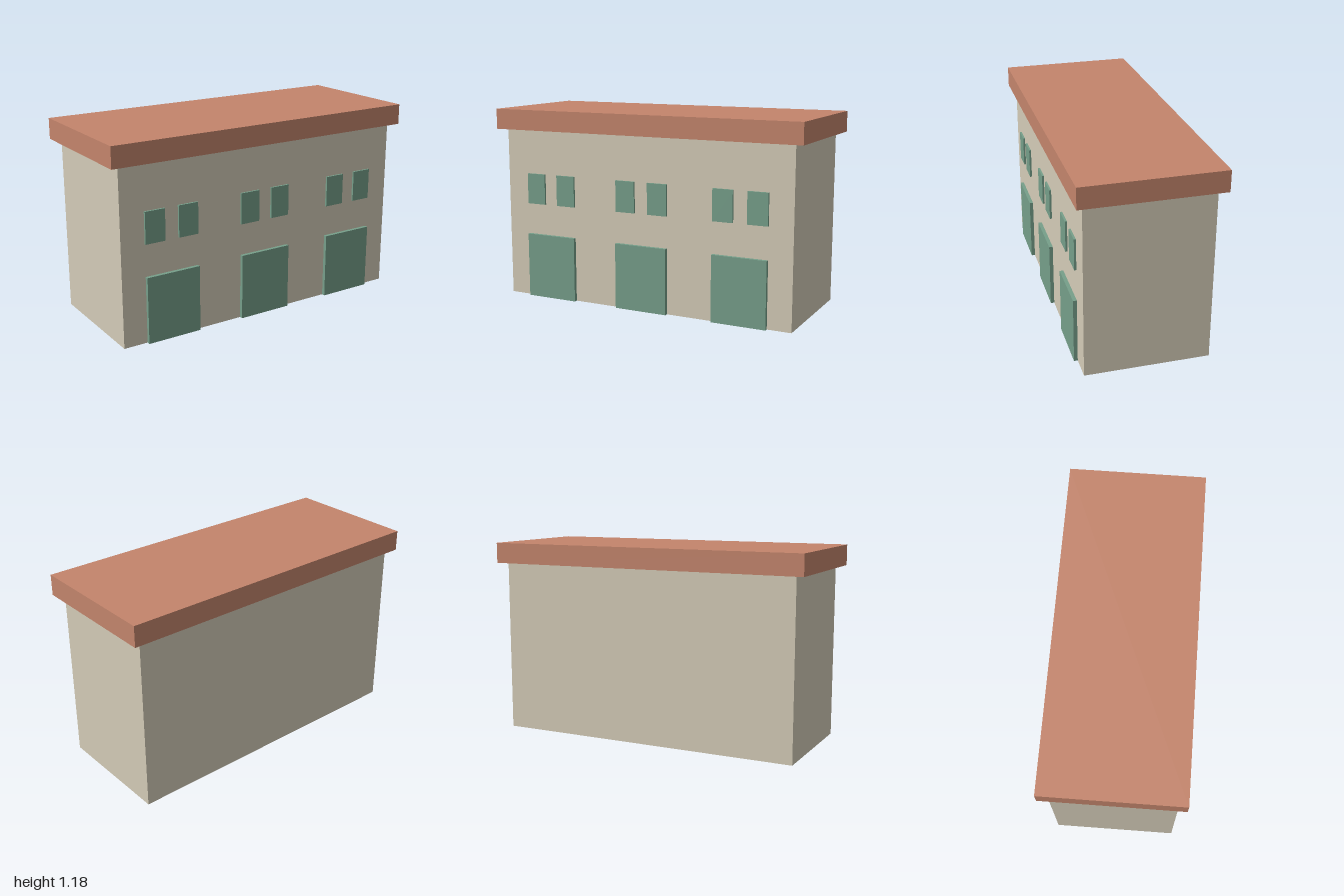
import * as THREE from 'three';

const WALL_TOP = 1.055;
const WALL_FRONT = 0.368;

export function createModel() {
  const model = new THREE.Group();
  model.name = 'building';

  const wallMat = new THREE.MeshStandardMaterial({ color: 0xd4ccb8 });
  const roofMat = new THREE.MeshStandardMaterial({ color: 0xc4856c });
  const greenMat = new THREE.MeshStandardMaterial({ color: 0x769f8a });

  // Box placed by its centre x and its bottom, back and front limits
  const addBox = (name, mat, x, width, y0, y1, z0, z1) => {
    const mesh = new THREE.Mesh(new THREE.BoxGeometry(width, y1 - y0, z1 - z0), mat);
    mesh.position.set(x, (y0 + y1) / 2, (z0 + z1) / 2);
    mesh.name = name;
    model.add(mesh);
  };

  // Main block and overhanging flat roof
  addBox('walls', wallMat, 0, 1.89, 0, WALL_TOP, -WALL_FRONT, WALL_FRONT);
  addBox('roof', roofMat, 0, 2, WALL_TOP, 1.18, -0.41, 0.41);

  // Three bays, each with a wide door below a pair of windows
  ['right', 'middle', 'left'].forEach((bay, i) => {
    const x = (i - 1) * 0.63;
    addBox(`${bay}Door`, greenMat, x, 0.337, 0, 0.4, WALL_FRONT - 0.01, 0.39);
    for (const side of [-1, 1]) {
      const name = `${bay}Bay${side < 0 ? 'Right' : 'Left'}Window`;
      addBox(name, greenMat, x + side * 0.106, 0.125, 0.593, 0.782, WALL_FRONT - 0.01, 0.38);
    }
  });

  return model;
}
